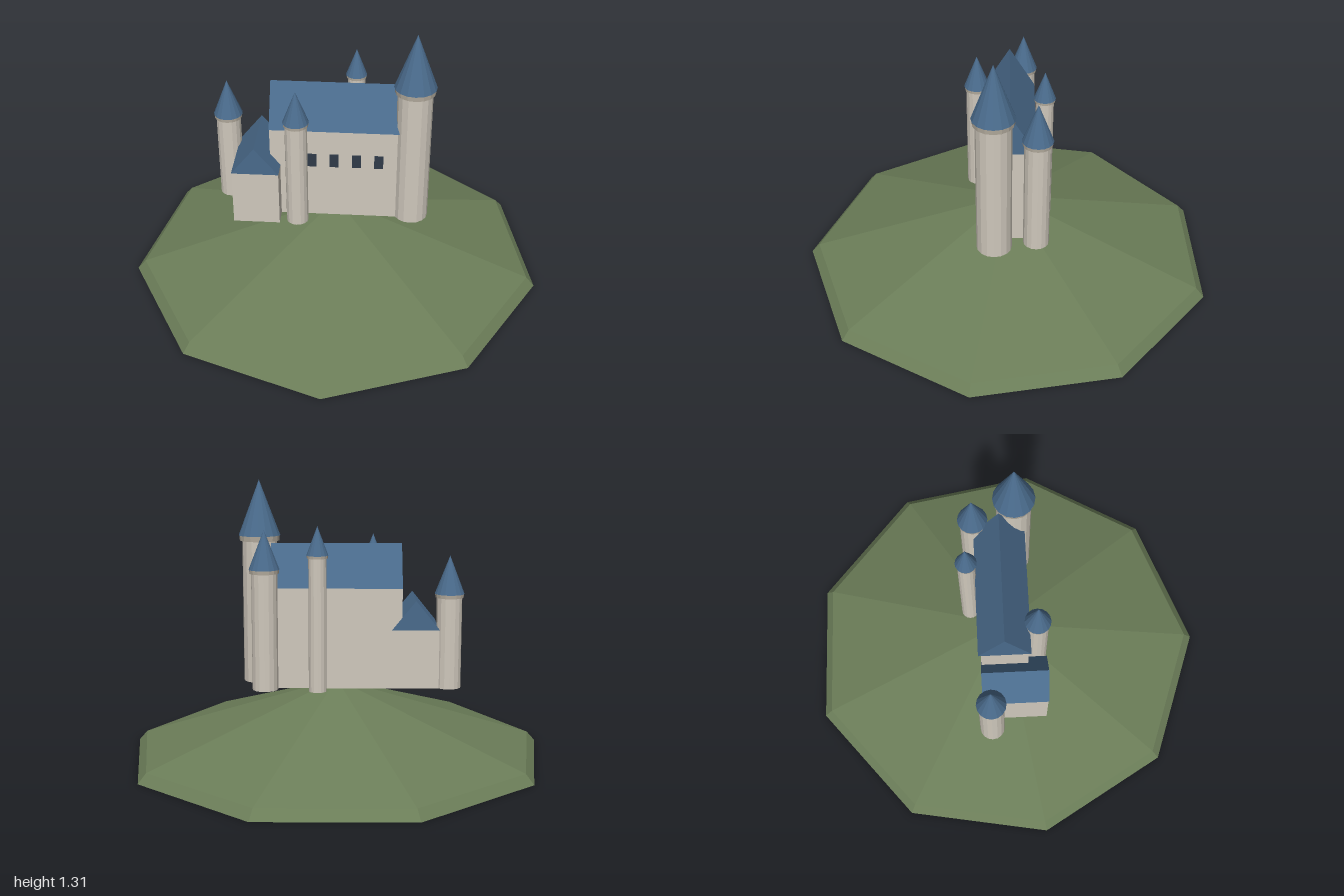
import * as THREE from 'three';

const material = (color) => {
  const m = new THREE.MeshStandardMaterial({ color, flatShading: true });
  return m;
};

export function createModel() {
  const castle = new THREE.Group();
  castle.name = 'castle';
  const grass = material(0x6b7d58);
  const stone = material(0xcfc8bc);
  const trim = material(0xb5ad9f);
  const slate = material(0x4a6b8c);
  const glass = material(0x2f3a48);
  const ground = 0.34;

  const add = (name, geometry, mat, x, y, z, parent = castle) => {
    const mesh = new THREE.Mesh(geometry, mat);
    mesh.name = name;
    mesh.position.set(x, y, z);
    parent.add(mesh);
    return mesh;
  };

  // Gabled roof: triangular prism with its ridge along z, centred on its base
  const gable = (width, height, length) => {
    const s = new THREE.Shape();
    s.moveTo(-width / 2, 0);
    s.lineTo(width / 2, 0);
    s.lineTo(0, height);
    s.closePath();
    return new THREE.ExtrudeGeometry(s, { depth: length, bevelEnabled: false })
      .translate(0, 0, -length / 2);
  };

  // Hill: nine-sided mound with a low rim slope and a small flat top
  const hill = new THREE.Group();
  hill.name = 'hill';
  hill.position.z = -0.03;
  castle.add(hill);
  add('hillRim', new THREE.CylinderGeometry(0.975, 1.015, 0.045, 9, 1, true), grass, 0, 0.0225, 0, hill);
  add('hillSlope', new THREE.CylinderGeometry(0.06, 0.975, 0.295, 9, 1, true), grass, 0, 0.1925, 0, hill);
  add('hillTop', new THREE.CircleGeometry(0.06, 9).rotateZ(-Math.PI / 2).rotateX(-Math.PI / 2), grass, 0, ground, 0, hill);
  add('hillBase', new THREE.CircleGeometry(1.015, 9).rotateZ(Math.PI / 2).rotateX(Math.PI / 2), grass, 0, 0, 0, hill);

  // Main hall with long roof
  add('hallWalls', new THREE.BoxGeometry(0.62, 0.48, 0.22), stone, 0, ground + 0.24, -0.033);
  add('hallRoof', gable(0.246, 0.2, 0.62).rotateY(Math.PI / 2), slate, 0, 0.82, -0.033);

  // Row of front windows
  for (let i = 0; i < 5; i++) {
    add('hallWindow', new THREE.BoxGeometry(0.043, 0.068, 0.012), glass, -0.215 + i * 0.1063, 0.655, 0.077);
  }

  // Side wing with cross gable
  add('wingWalls', new THREE.BoxGeometry(0.224, 0.28, 0.305), stone, -0.374, ground + 0.14, 0.012);
  add('wingRoof', gable(0.226, 0.14, 0.315), slate, -0.374, 0.62, 0.012);

  // Round towers: x, z, body radius, eave height, cone radius, tip height
  const towers = [
    ['greatTower', 0.37, 0.04, 0.083, 1.05, 0.1, 1.315],
    ['wingTower', -0.532, -0.105, 0.06, 0.79, 0.07, 0.97],
    ['frontTower', -0.178, 0.125, 0.053, 0.89, 0.062, 1.05],
    ['backTower', 0.335, -0.157, 0.061, 0.91, 0.072, 1.095],
    ['backTurret', 0.087, -0.193, 0.042, 0.98, 0.051, 1.115],
  ];
  for (const [name, x, z, r, eave, coneR, tip] of towers) {
    const tower = new THREE.Group();
    tower.name = name;
    tower.position.set(x, 0, z);
    castle.add(tower);
    const h = eave - ground;
    const band = coneR * 0.25;
    add('towerBody', new THREE.CylinderGeometry(r, r, h, 16), stone, 0, ground + h / 2, 0, tower);
    add('towerCollar', new THREE.CylinderGeometry(coneR * 0.97, coneR * 0.95, band, 16), trim, 0, eave - band / 2, 0, tower);
    add('towerRoof', new THREE.ConeGeometry(coneR, tip - eave, 16), slate, 0, (eave + tip) / 2, 0, tower);
  }
  return castle;
}
